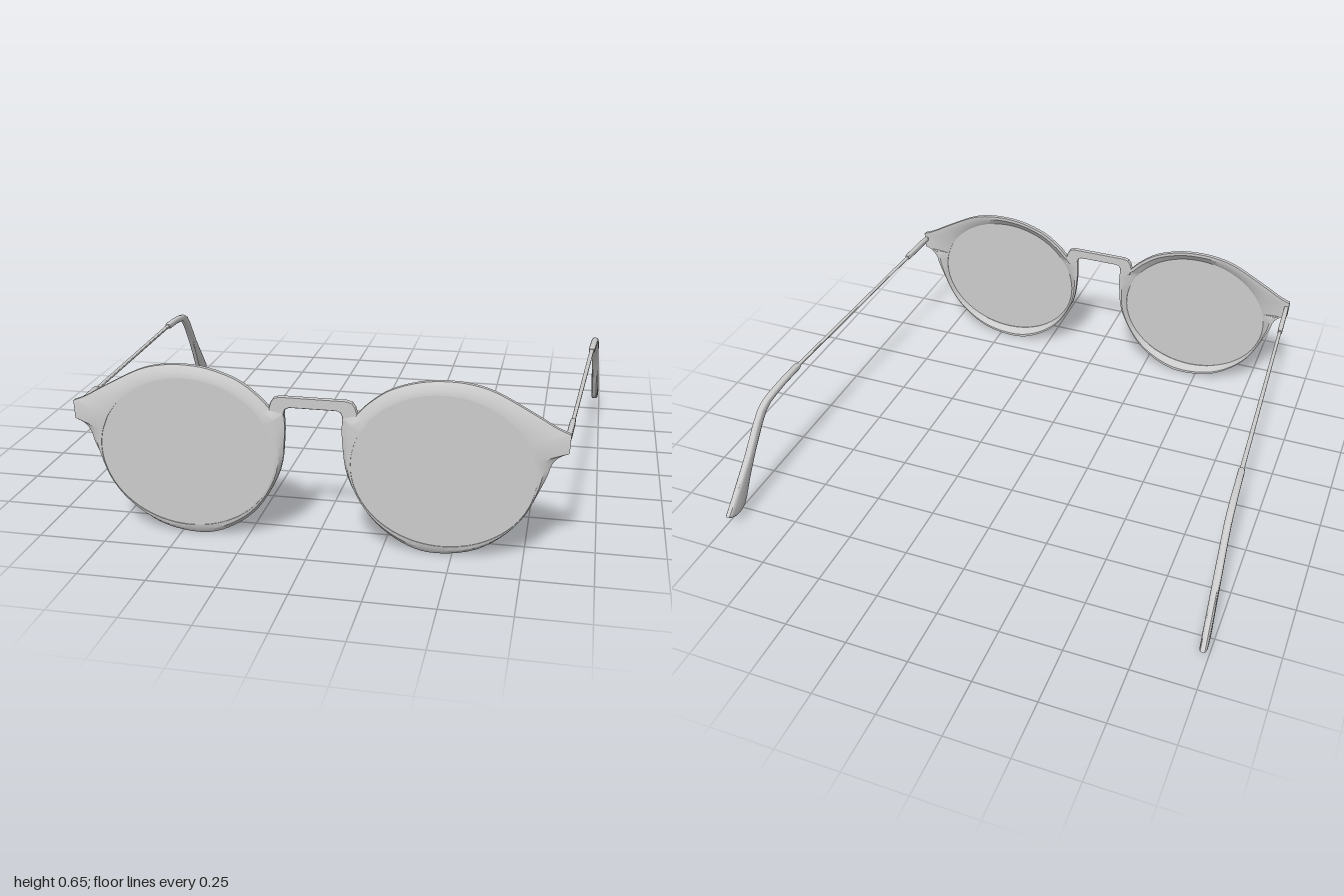
import * as THREE from 'three';
import { toCreasedNormals } from 'three/addons/utils/BufferGeometryUtils.js';

const material = new THREE.MeshStandardMaterial({ color: 0xcccccc, side: THREE.DoubleSide });
const V2 = (p) => new THREE.Vector2(p[0], p[1]);

function part(name, geometry) {
  const mesh = new THREE.Mesh(geometry, material);
  mesh.name = name;
  return mesh;
}

// Skin closed rings of points; rings run counter-clockwise seen from the first ring's side
function loft(rings, capped, crease = 0.6) {
  const n = rings[0].length;
  const points = rings.flat();
  const index = [];
  for (let i = 0; i < rings.length - 1; i++) {
    for (let j = 0; j < n; j++) {
      const a = i * n + j, b = i * n + (j + 1) % n;
      index.push(a, a + n, b, b, a + n, b + n);
    }
  }
  if (capped) {
    for (const last of [false, true]) {
      const start = last ? (rings.length - 1) * n : 0;
      const centre = new THREE.Vector3();
      for (let j = 0; j < n; j++) centre.addScaledVector(points[start + j], 1 / n);
      points.push(centre);
      for (let j = 0; j < n; j++) {
        const a = start + j, b = start + (j + 1) % n;
        if (last) index.push(points.length - 1, b, a);
        else index.push(points.length - 1, a, b);
      }
    }
  }
  const geometry = new THREE.BufferGeometry().setFromPoints(points);
  geometry.setIndex(index);
  return toCreasedNormals(geometry, crease);
}

// Lens opening
const CX = 0.462, CY = 0.325, RX = 0.325, RY = 0.283;
function ovalPoint(x, y) {
  const a = Math.atan2((y - CY) / RY, (x - CX) / RX);
  return [CX + RX * Math.cos(a), CY + RY * Math.sin(a)];
}

// Outer rim contour: over the brow, around the bottom, out to the hinge lug
function rimOutline() {
  const brow = [[0.893, 0.49], [0.845, 0.51], [0.775, 0.55], [0.65, 0.617], [0.57, 0.643],
    [0.48, 0.652], [0.38, 0.643], [0.275, 0.608], [0.2, 0.555], [0.155, 0.508]];
  const lower = [[0.105, 0.495], [0.104, 0.41], [0.125, 0.27], [0.21, 0.12], [0.33, 0.03],
    [0.45, 0.005], [0.6, 0.04], [0.73, 0.15], [0.81, 0.31], [0.832, 0.375], [0.855, 0.405], [0.89, 0.422]];
  return [
    ...new THREE.SplineCurve(brow.map(V2)).getPoints(36),
    ...new THREE.SplineCurve(lower.map(V2)).getPoints(56),
  ];
}

// Dished rim: each ring blends from the outline (0) to the lens opening (1) at a depth
function rimGeometry() {
  const outline = rimOutline();
  const profile = [[1, 0.88], [0.5, 0.877], [0, 0.86], [0, 0.843], [0.3, 0.843], [1, 0.866], [1, 0.88]];
  return loft(profile.map(([t, z]) => outline.map((p) => {
    const [x, y] = ovalPoint(p.x, p.y);
    return new THREE.Vector3(p.x + (x - p.x) * t, p.y + (y - p.y) * t, z);
  })), false);
}

function lensGeometry() {
  const shape = new THREE.Shape().absellipse(CX, CY, RX + 0.004, RY + 0.004, 0, Math.PI * 2);
  const geometry = new THREE.ExtrudeGeometry(shape, { depth: 0.008, bevelEnabled: false, curveSegments: 40 });
  return geometry.translate(0, 0, 0.869);
}

function bridgeGeometry() {
  const half = [[0.12, 0.556], [0.14, 0.55], [0.15, 0.535], [0.158, 0.508], [0.15, 0.48],
    [0.108, 0.47], [0.106, 0.5], [0.1, 0.514], [0.085, 0.52]];
  const mirrored = half.map(([x, y]) => [-x, y]).reverse();
  const shape = new THREE.Shape([...half, ...mirrored].map(V2));
  return new THREE.ExtrudeGeometry(shape, { depth: 0.013, steps: 1, bevelThickness: 0.003, bevelSize: 0.002, bevelSegments: 1 })
    .translate(0, 0, 0.846);
}

// Temple piece from sections [top z, top y, bottom z, bottom y, half width], splaying outward to the back
function templeGeometry(sections) {
  const sides = 16;
  const round = (v) => Math.sign(v) * Math.abs(v) ** 0.6;
  return loft(sections.map(([zt, yt, zb, yb, w]) => {
    const ring = [];
    for (let j = 0; j < sides; j++) {
      const a = j / sides * Math.PI * 2;
      const s = (round(Math.sin(a)) + 1) / 2;
      const z = zb + (zt - zb) * s;
      const x = 0.882 + (0.845 - z) * 0.058 + round(Math.cos(a)) * w;
      ring.push(new THREE.Vector3(x, yb + (yt - yb) * s, z));
    }
    return ring;
  }), true);
}

function side(name, sign) {
  const group = new THREE.Group();
  group.name = name;
  group.add(part('rim', rimGeometry()));
  group.add(part('lens', lensGeometry()));
  group.add(part('hingeSleeve', templeGeometry([
    [0.85, 0.473, 0.85, 0.455, 0.009], [0.8, 0.477, 0.8, 0.45, 0.01],
    [0.66, 0.474, 0.66, 0.447, 0.01], [0.645, 0.471, 0.645, 0.45, 0.009],
  ])));
  group.add(part('templeRod', templeGeometry([
    [0.66, 0.466, 0.66, 0.455, 0.007], [-0.32, 0.437, -0.32, 0.426, 0.009],
  ])));
  // Ear tip: bends down behind the ear and widens to a paddle
  group.add(part('earTip', templeGeometry([
    [-0.285, 0.442, -0.285, 0.424, 0.011], [-0.3, 0.445, -0.3, 0.419, 0.013],
    [-0.4, 0.438, -0.4, 0.412, 0.013], [-0.48, 0.428, -0.465, 0.403, 0.014],
    [-0.535, 0.417, -0.51, 0.393, 0.014], [-0.575, 0.397, -0.55, 0.369, 0.014],
    [-0.615, 0.357, -0.585, 0.33, 0.014], [-0.7, 0.245, -0.645, 0.253, 0.015],
    [-0.79, 0.15, -0.7, 0.165, 0.015], [-0.85, 0.088, -0.745, 0.08, 0.015],
    [-0.878, 0.06, -0.765, 0.053, 0.015], [-0.865, 0.05, -0.785, 0.042, 0.014],
    [-0.84, 0.041, -0.81, 0.038, 0.012],
  ])));
  group.scale.x = sign;
  return group;
}

export function createModel() {
  const model = new THREE.Group();
  model.name = 'eyeglasses';
  model.add(part('bridge', bridgeGeometry()));
  model.add(side('leftSide', 1), side('rightSide', -1));
  return model;
}
